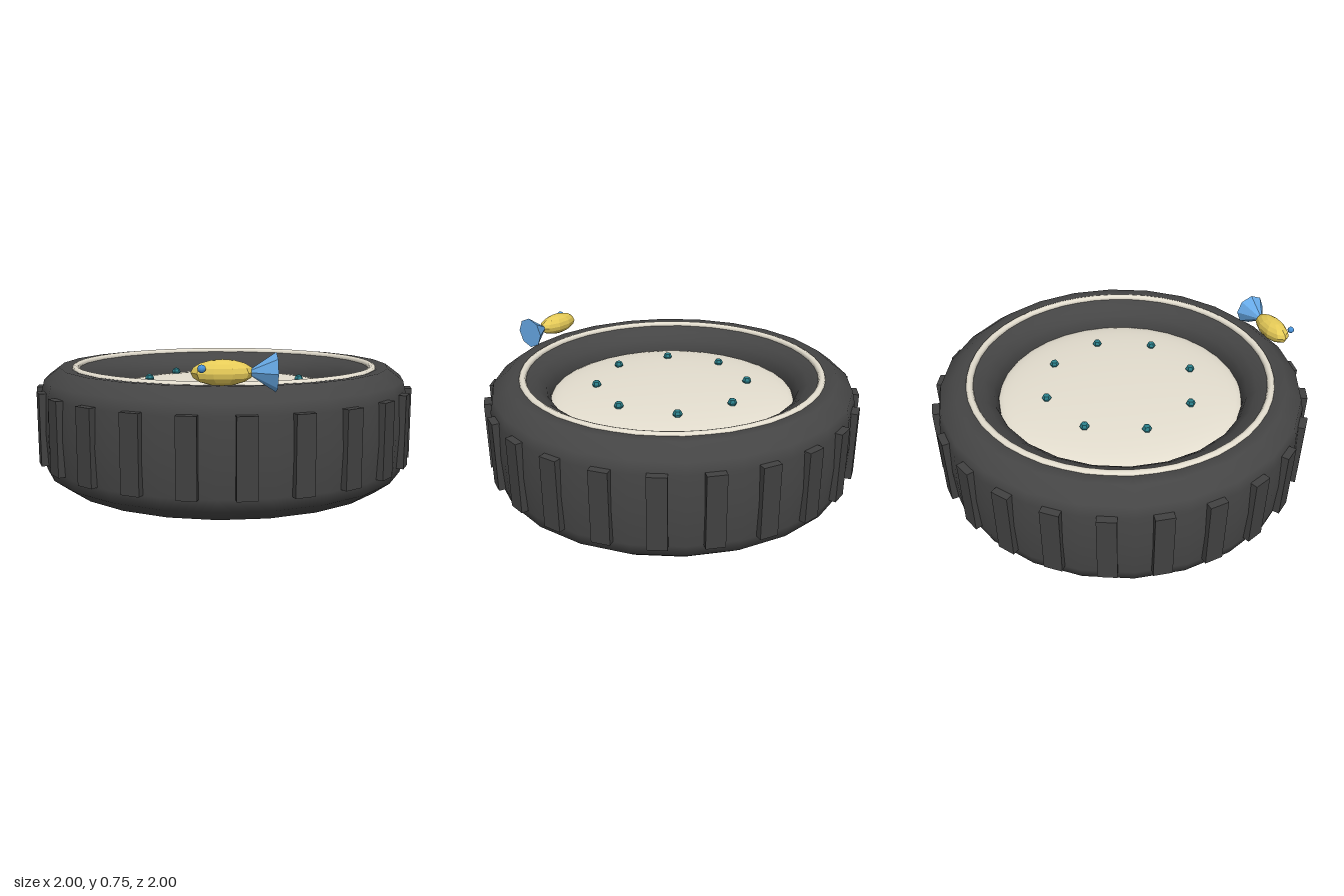
import * as THREE from 'three';

const material = (name, color, extra = {}) => {
  const m = new THREE.MeshStandardMaterial({ color, ...extra });
  m.name = name;
  return m;
};

export function createModel() {
  const rubber = material('rubber', 0x454545);
  const treadRubber = material('treadRubber', 0x414141, { flatShading: true });
  const cream = material('cream', 0xe5dfd0);
  const earth = material('earth', 0xc2a780);
  const teal = material('teal', 0x2a7d88, { flatShading: true });
  const gold = material('gold', 0xe6cb58, { flatShading: true });
  const blue = material('blue', 0x67a9e6, { flatShading: true });
  const eyeBlue = material('eyeBlue', 0x4a94dc);

  const model = new THREE.Group();
  model.name = 'tyreSandpit';
  const add = (parent, name, geometry, mat, x = 0, y = 0, z = 0) => {
    const mesh = new THREE.Mesh(geometry, mat);
    mesh.name = name;
    mesh.position.set(x, y, z);
    parent.add(mesh);
    return mesh;
  };

  // Tyre: closed profile turned around the upright axis
  const profile = [
    [0.655, 0.06], [0.69, 0.025], [0.75, 0.005], [0.88, 0], [0.96, 0.06], [0.975, 0.12],
    [0.984, 0.3], [0.975, 0.48], [0.96, 0.54], [0.88, 0.6], [0.83, 0.597], [0.78, 0.585],
    [0.725, 0.562], [0.68, 0.525], [0.66, 0.47], [0.655, 0.4], [0.655, 0.06],
  ].map(([r, y]) => new THREE.Vector2(r, y));
  add(model, 'tyre', new THREE.LatheGeometry(profile, 24), rubber);

  // Tread blocks around the outside
  const blockGeometry = new THREE.BoxGeometry(0.094, 0.37, 0.06);
  for (let i = 0; i < 24; i++) {
    const a = ((i + 0.5) / 24) * Math.PI * 2;
    const block = add(model, 'treadBlock', blockGeometry, treadRubber,
      Math.sin(a) * 0.972, 0.305, Math.cos(a) * 0.972);
    block.rotation.y = a;
  }

  // Pale bead on the rim
  add(model, 'rimBead', new THREE.TorusGeometry(0.798, 0.02, 8, 48), cream, 0, 0.589, 0)
    .rotation.x = Math.PI / 2;

  // Sand mound and the underside of the bed
  const mound = new THREE.SphereGeometry(0.662, 32, 10, 0, Math.PI * 2, 0, Math.PI / 2);
  add(model, 'sandMound', mound, cream, 0, 0.45, 0).scale.y = 0.07 / 0.662;
  add(model, 'bedUnderside', new THREE.CircleGeometry(0.66, 48), earth, 0, 0.05, 0)
    .rotation.x = Math.PI / 2;

  // Ring of studs on the sand
  const studGeometry = new THREE.SphereGeometry(0.025, 6, 4);
  for (let i = 0; i < 8; i++) {
    const a = (i / 8) * Math.PI * 2;
    add(model, 'stud', studGeometry, teal, Math.sin(a) * 0.41, 0.515, Math.cos(a) * 0.41);
  }

  // Toy fish resting on the tyre; its tail points along local +x
  const fish = new THREE.Group();
  fish.name = 'toyFish';
  fish.position.set(0.66, 0.664, 0.63);
  fish.rotation.y = Math.atan2(0.77, 0.64);
  model.add(fish);
  add(fish, 'fishBody', new THREE.SphereGeometry(1, 10, 8), gold).scale.set(0.135, 0.057, 0.064);
  const tailGeometry = new THREE.ConeGeometry(0.087, 0.13, 8);
  tailGeometry.rotateZ(Math.PI / 2);
  add(fish, 'fishTail', tailGeometry, blue, 0.165, 0, 0);
  add(fish, 'fishEye', new THREE.SphereGeometry(0.018, 8, 6), eyeBlue, -0.09, 0.024, 0.061);

  return model;
}
